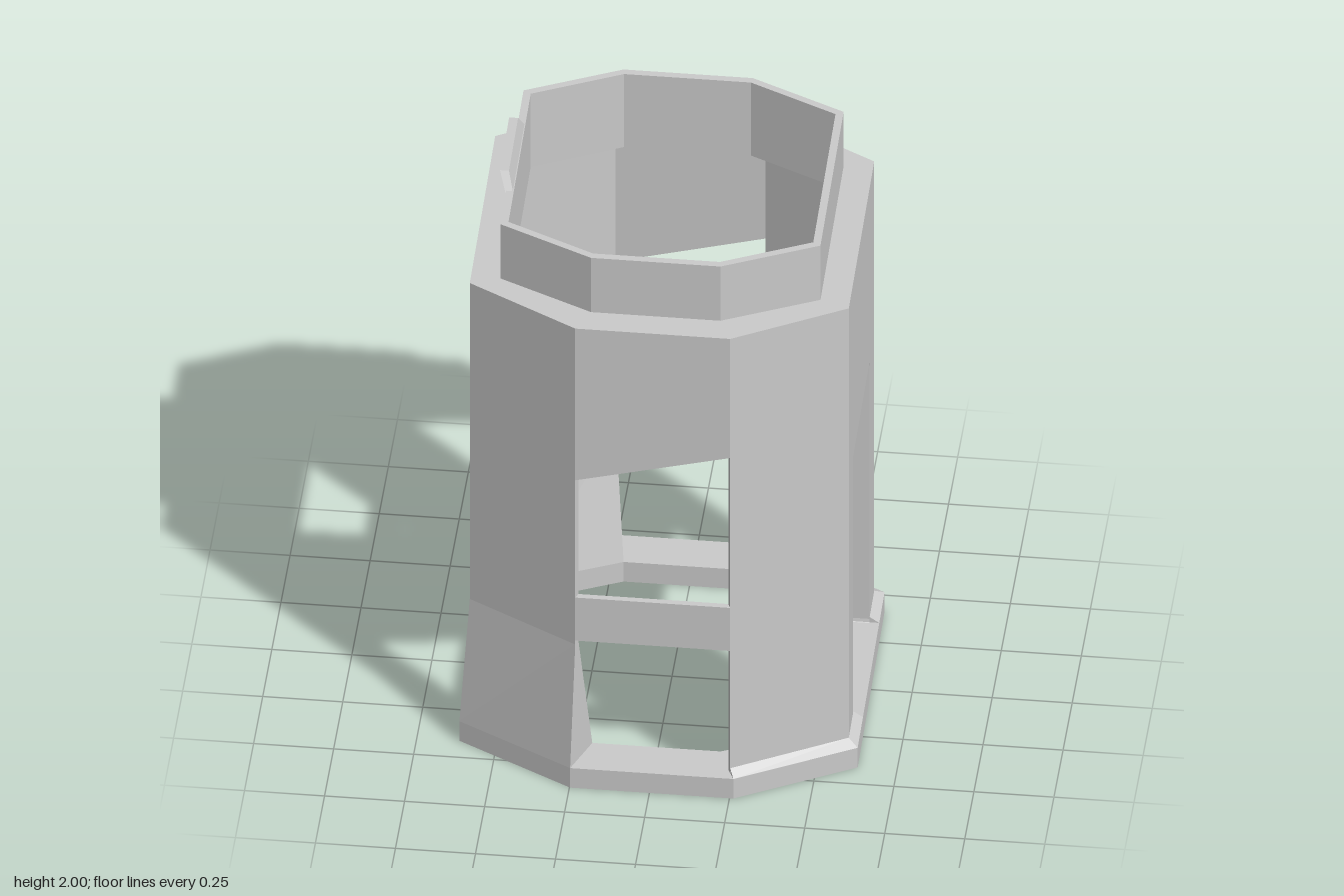
import * as THREE from 'three';

const material = new THREE.MeshStandardMaterial({ color: 0xcccccc, flatShading: true });
// Slight skew of the whole plan
const skew = new THREE.Matrix4().set(1, 0, 0.012, 0, 0, 1, 0, 0, 0, 0, 1, 0, 0, 0, 0, 1);

// Octagon plan: face distance w, side corner k, front corner n.
// Edge 0 = +x+z diagonal, 1 = front, 3 = left (-x), 5 = back, 7 = door side (+x)
const oct = (w, k, n, d = w) => [
  [w, k], [n, d], [-n, d], [-w, k], [-w, -k], [-n, -d], [n, -d], [w, -k],
];
const BASE = oct(0.622, 0.413, 0.255, 0.62);
const BASE_IN = oct(0.485, 0.345, 0.2, 0.48);
const BODY = oct(0.592, 0.39, 0.242, 0.592);
const BODY_IN = oct(0.572, 0.38, 0.234, 0.572);
const RING = oct(0.5, 0.355, 0.202);
const RING_IN = oct(0.476, 0.34, 0.198);

export function createModel() {
  const group = new THREE.Group();

  function add(name, geometry) {
    const mesh = new THREE.Mesh(geometry.applyMatrix4(skew), material);
    mesh.name = name;
    group.add(mesh);
  }

  // Six-sided block; c = outer a, outer b, inner b, inner a (low), then the same high
  function hexa(c, ends = true) {
    const quads = [[1, 0, 4, 5], [3, 2, 6, 7], [5, 4, 7, 6], [0, 1, 2, 3]];
    if (ends) quads.push([0, 3, 7, 4], [2, 1, 5, 6]);
    const pos = [];
    for (const [p, q, r, s] of quads) for (const i of [p, q, r, p, r, s]) pos.push(...c[i]);
    return pos;
  }
  function fromPositions(pos) {
    const g = new THREE.BufferGeometry();
    g.setAttribute('position', new THREE.Float32BufferAttribute(pos, 3));
    g.computeVertexNormals();
    return g;
  }

  // Wall piece along octagon edge i; yLow and yHigh are numbers or [start, end]
  function edge(i, yLow, outLow, inLow, yHigh, outHigh, inHigh, ends) {
    const j = (i + 1) % 8;
    const level = (y, out, inn) => {
      const [ya, yb] = Array.isArray(y) ? y : [y, y];
      const at = ([x, z], h) => [x, h, z];
      return [at(out[i], ya), at(out[j], yb), at(inn[j], yb), at(inn[i], ya)];
    };
    return hexa([...level(yLow, outLow, inLow), ...level(yHigh, outHigh, inHigh)], ends);
  }
  const wall = (name, i, y0, y1) =>
    add(name, fromPositions(edge(i, y0, BODY, BODY_IN, y1, BODY, BODY_IN)));
  const band = (name, y0, y1, out, inn) => {
    const pos = [];
    for (let i = 0; i < 8; i++) pos.push(...edge(i, y0, out, inn, y1, out, inn, false));
    add(name, fromPositions(pos));
  };

  // Full rings: foot, shoulder and collar
  band('baseRing', 0, 0.075, BASE, BASE_IN);
  band('shoulder', 1.67, 1.742, BODY, RING_IN);
  band('collar', 1.742, 1.95, RING, RING_IN);

  // Straight corner pillars beside the door, with a chamfered foot
  for (const i of [0, 6]) {
    wall('doorSidePillar', i, 0.075, 1.67);
    add('pillarFoot', fromPositions(edge(i, 0.075, BASE, BODY_IN, 0.095, BODY, BODY_IN)));
  }

  // Corner pillars on the far side thicken towards the foot
  for (const i of [2, 4]) {
    wall('flaredPillar', i, 0.53, 1.67);
    add('pillarFlare', fromPositions(edge(i, 0.075, BASE, BASE_IN, 0.53, BODY, BODY_IN)));
  }

  // Panels above the openings, and cross beams
  wall('frontPanel', 1, [1.285, 1.16], 1.67);
  wall('leftOpenPanel', 3, 1.08, 1.67);
  wall('backPanel', 5, [1.16, 1.285], 1.67);
  for (const i of [1, 3, 5]) wall('crossBeam', i, 0.545, 0.71);

  // Door wall with a deep rounded frame
  function roundedRect(path, x0, x1, y0, y1, r) {
    path.moveTo(x0 + r, y0);
    path.lineTo(x1 - r, y0);
    path.quadraticCurveTo(x1, y0, x1, y0 + r);
    path.lineTo(x1, y1 - r);
    path.quadraticCurveTo(x1, y1, x1 - r, y1);
    path.lineTo(x0 + r, y1);
    path.quadraticCurveTo(x0, y1, x0, y1 - r);
    path.lineTo(x0, y0 + r);
    path.quadraticCurveTo(x0, y0, x0 + r, y0);
    return path;
  }
  function doorPiece(name, shape, x0, x1) {
    shape.holes.push(roundedRect(new THREE.Path(), -0.265, 0.25, 0.068, 1.08, 0.02));
    const g = new THREE.ExtrudeGeometry(shape, { depth: x1 - x0, bevelEnabled: false, curveSegments: 3 });
    add(name, g.rotateY(Math.PI / 2).translate(x0, 0, 0));
  }
  const panel = new THREE.Shape();
  panel.moveTo(-0.39, 0.05).lineTo(0.39, 0.05).lineTo(0.39, 1.67).lineTo(-0.39, 1.67).closePath();
  doorPiece('doorWall', panel, 0.572, 0.592);
  doorPiece('doorFrame', roundedRect(new THREE.Shape(), -0.285, 0.27, 0.05, 1.1, 0.02), 0.48, 0.591);

  // Small ramps on the foot either side of the door
  for (const [za, zb, ta, tb] of [[-0.413, -0.25, -0.39, -0.25], [0.25, 0.413, 0.25, 0.39]]) {
    add('doorRamp', fromPositions(hexa([
      [0.622, 0.075, za], [0.622, 0.075, zb], [0.58, 0.075, tb], [0.58, 0.075, ta],
      [0.592, 0.095, ta], [0.592, 0.095, tb], [0.58, 0.095, tb], [0.58, 0.095, ta],
    ])));
  }

  // Leaning tab on the collar
  add('collarTab', fromPositions(hexa([
    [-0.5, 1.94, 0.185], [-0.5, 1.94, -0.185], [-0.476, 1.94, -0.185], [-0.476, 1.94, 0.185],
    [-0.523, 2, 0.14], [-0.523, 2, -0.14], [-0.495, 2, -0.14], [-0.495, 2, 0.14],
  ])));

  return group;
}
